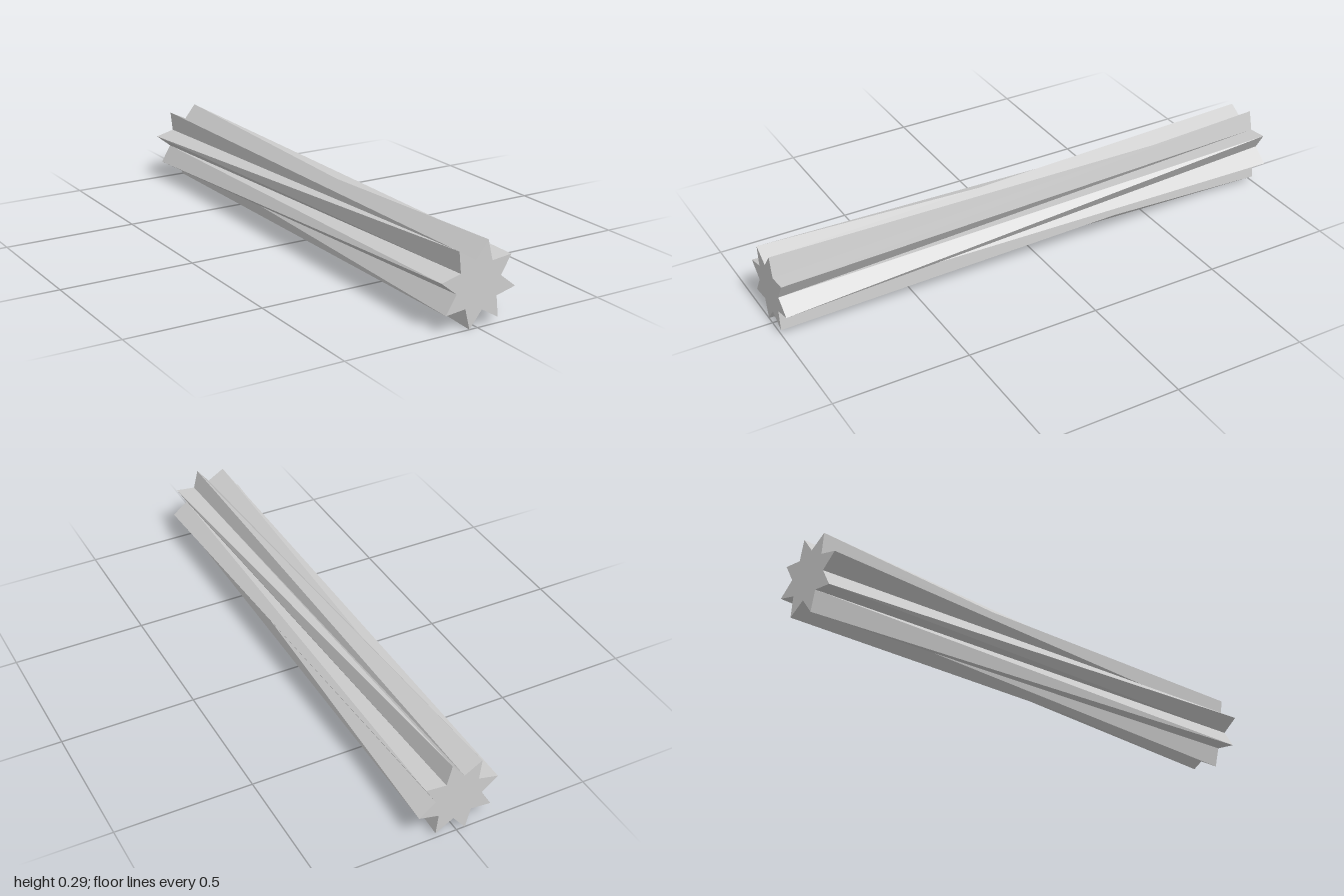
import * as THREE from 'three';

const POINTS = 8;
const TIP_R = 0.149;
const NOTCH_R = 0.088;
const CENTRE_Y = 0.148;
const START = THREE.MathUtils.degToRad(32.6); // angle of the first tip
const TWIST = Math.PI / 4;                    // turn from front to back

// Star outline at depth z, alternating tips and notches
function starRing(z, turn) {
  return Array.from({ length: POINTS * 2 }, (_, i) => {
    const a = START + turn + (i * Math.PI) / POINTS;
    const r = i % 2 ? NOTCH_R : TIP_R;
    return [r * Math.cos(a), CENTRE_Y + r * Math.sin(a), z];
  });
}

function facetMesh(name, triangles) {
  const geometry = new THREE.BufferGeometry();
  geometry.setAttribute('position', new THREE.Float32BufferAttribute(triangles.flat(2), 3));
  geometry.computeVertexNormals();
  const mesh = new THREE.Mesh(geometry, new THREE.MeshStandardMaterial({ color: 0xcccccc, flatShading: true }));
  mesh.name = name;
  return mesh;
}

export function createModel() {
  const group = new THREE.Group();
  group.name = 'twistedStarRod';

  const front = starRing(1, 0);
  const back = starRing(-1, TWIST);
  const flutes = [], frontCap = [], backCap = [];

  for (let i = 0; i < front.length; i++) {
    const j = (i + 1) % front.length;
    // Each flank is one long twisted quad, split into two facets
    flutes.push([front[i], back[i], front[j]], [front[j], back[i], back[j]]);
    // Flat star ends
    frontCap.push([[0, CENTRE_Y, 1], front[i], front[j]]);
    backCap.push([[0, CENTRE_Y, -1], back[j], back[i]]);
  }

  group.add(
    facetMesh('twistedFlutes', flutes),
    facetMesh('frontCap', frontCap),
    facetMesh('backCap', backCap),
  );
  return group;
}
